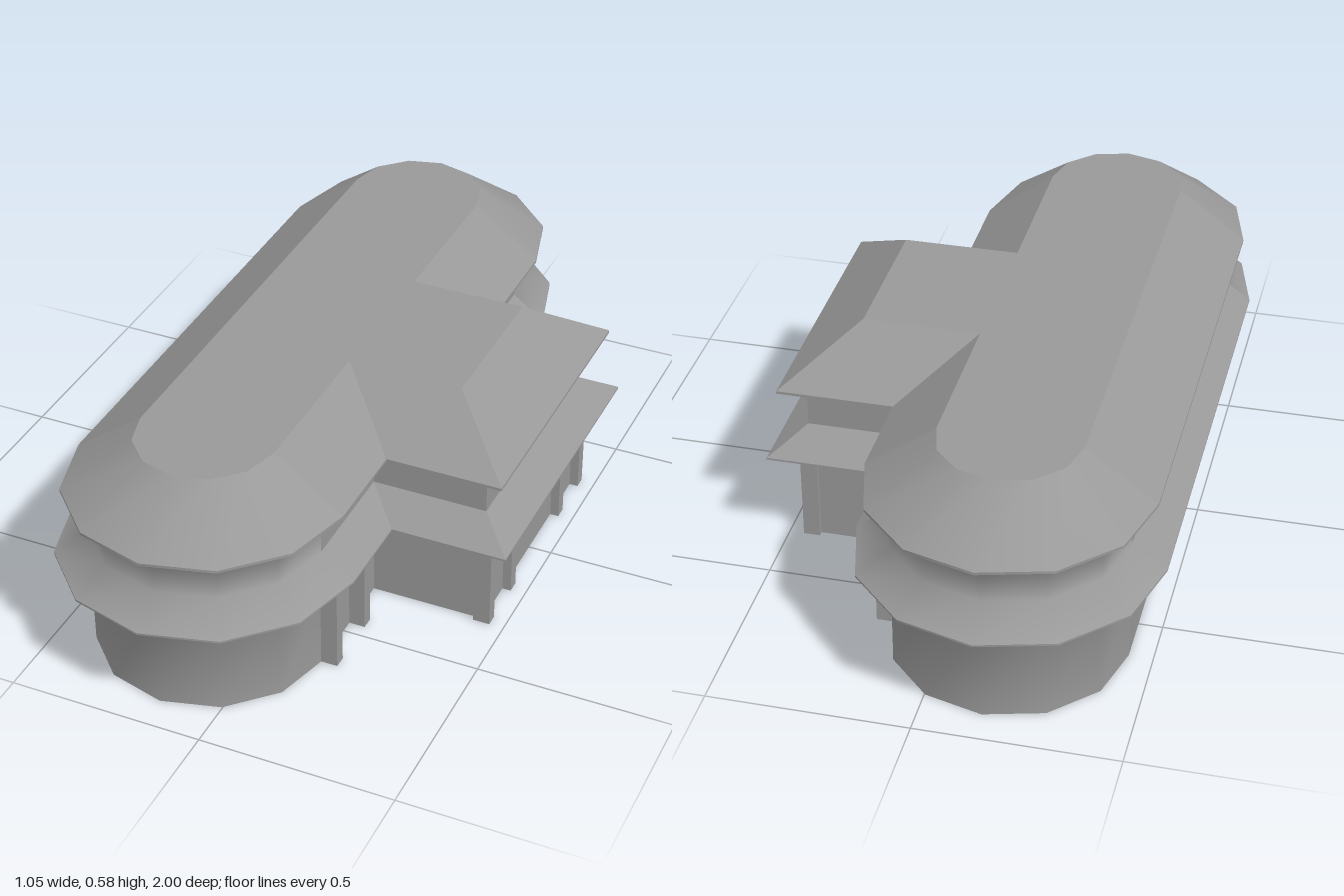
import * as THREE from 'three';

const CX = -0.148, R = 0.292, END = 0.623;   // long hall: centre line, half width, centre of round ends
const WING_X = 0.44, WING_Z = 0.317;         // side wing: front wall and half width

// Profile as [outward offset from the wall, height]
const PROFILE = [
  [0, 0], [0, 0.243], [0.085, 0.267], [0.085, 0.272],
  [0, 0.333], [0, 0.421], [0.059, 0.45], [0.059, 0.457], [-0.117, 0.585],
];
// Parts of the profile, each shaded on its own
const BANDS = [
  ['lowerWall', 0, 2], ['lowerEaveRim', 2, 3], ['waist', 3, 6],
  ['upperEaveRim', 6, 7], ['roofSlope', 7, 8],
];

// Plan outlines, pushed outward by d, as [x, z]; together they run once round the plan
const arc = (sign) => (d) => Array.from({ length: 7 }, (_, i) => {
  const a = i * Math.PI / 6;
  return [CX - sign * (R + d) * Math.cos(a), sign * (END + (R + d) * Math.sin(a))];
});
const wingSide = (d) => {
  const x = CX + R + d, w = WING_X + d, z = WING_Z + d;
  return [[x, END], [x, z], [w, z], [w, -z], [x, -z], [x, -END]];
};
const backSide = (d) => [[CX - R - d, -END], [CX - R - d, END]];
const frontArc = arc(1);
const rearArc = arc(-1);

// Skin between outline copies at successive profile points
function band(outline, from, to, smooth) {
  const pos = [], index = [];
  const n = outline(0).length;
  for (let k = from; k <= to; k++) {
    const [d, y] = PROFILE[k];
    outline(d).forEach(([x, z]) => pos.push(x, y, z));
  }
  for (let k = 0; k < to - from; k++) {
    for (let i = 0; i < n - 1; i++) {
      const a = k * n + i, b = a + 1, c = b + n, e = a + n;
      index.push(a, b, c, a, c, e);
    }
  }
  let g = new THREE.BufferGeometry();
  g.setAttribute('position', new THREE.Float32BufferAttribute(pos, 3));
  g.setIndex(index);
  if (!smooth) g = g.toNonIndexed();
  g.computeVertexNormals();
  return g;
}

export function createModel() {
  const group = new THREE.Group();
  const material = new THREE.MeshStandardMaterial({ color: 0x999999, side: THREE.DoubleSide });
  const add = (name, geometry) => {
    const mesh = new THREE.Mesh(geometry, material);
    mesh.name = name;
    group.add(mesh);
    return mesh;
  };

  // Walls, eaves and roof slopes; round ends smooth, straight runs flat
  const sides = [
    ['frontEnd', frontArc, true], ['wingSide', wingSide, false],
    ['rearEnd', rearArc, true], ['backSide', backSide, false],
  ];
  for (const [side, outline, smooth] of sides) {
    for (const [part, from, to] of BANDS) add(`${side}_${part}`, band(outline, from, to, smooth));
  }

  // Flat roof
  const [topOffset, topY] = PROFILE[PROFILE.length - 1];
  const plan = sides.flatMap(([, outline]) => outline(topOffset).slice(0, -1));
  const shape = new THREE.Shape(plan.map(([x, z]) => new THREE.Vector2(x, -z)));
  add('flatRoof', new THREE.ShapeGeometry(shape).rotateX(-Math.PI / 2).translate(0, topY, 0));

  // Pilasters under the lower eave: two pairs on the hall, two on the wing
  const pilasters = [[0.164, 0.612], [0.164, 0.45], [0.441, 0.315], [0.441, 0.17]];
  const post = new THREE.BoxGeometry(0.043, 0.25, 0.032);
  for (const [x, z] of pilasters) {
    for (const s of [1, -1]) add('pilaster', post).position.set(x, 0.125, s * z);
  }
  return group;
}
